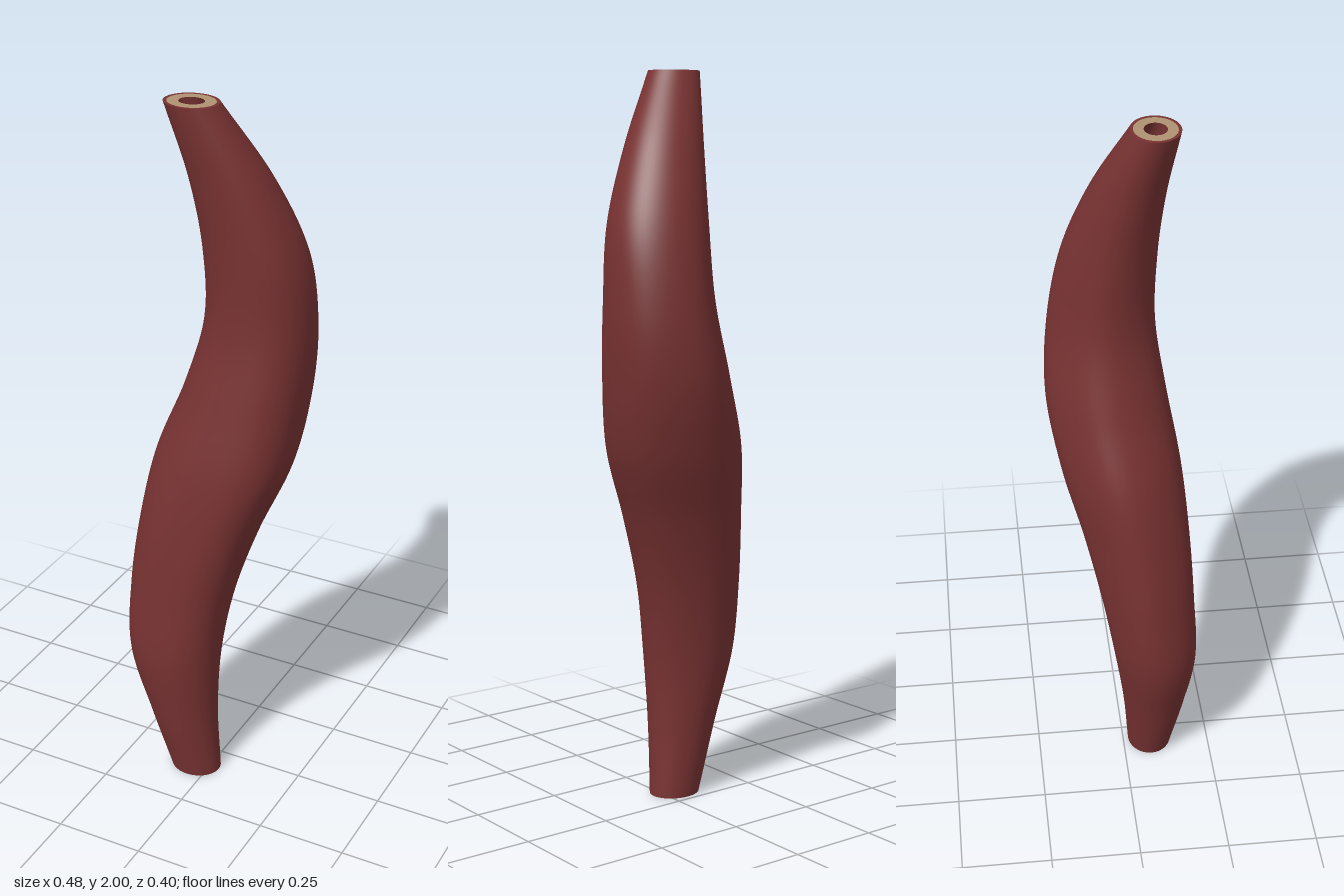
import * as THREE from 'three';

// Cross-section extents at even heights from y = 0 to y = 2: [xMin, xMax, zMin, zMax]
const sections = [
  [-0.115, 0.03, 0.015, 0.14],
  [-0.175, 0.022, -0.002, 0.175],
  [-0.235, 0.03, -0.03, 0.2],
  [-0.24, 0.06, -0.065, 0.192],
  [-0.222, 0.12, -0.11, 0.18],
  [-0.187, 0.197, -0.165, 0.16],
  [-0.115, 0.23, -0.197, 0.125],
  [-0.06, 0.24, -0.187, 0.097],
  [-0.055, 0.222, -0.15, 0.1],
  [-0.075, 0.145, -0.08, 0.115],
  [-0.115, 0.03, 0.015, 0.14],
];
const BORE = 0.46, LINING = 0.87, SIDES = 64, RINGS = 100;

const curveOf = (fn) => new THREE.CatmullRomCurve3(
  sections.map((s, i) => fn(s, i * 0.2)), false, 'catmullrom', 0.5);
const centre = curveOf(([a, b, c, d], y) => new THREE.Vector3((a + b) / 2, y, (c + d) / 2));
const radii = curveOf(([a, b, c, d], y) => new THREE.Vector3((b - a) / 2, y, (d - c) / 2));

// Point on the wall: t along the vessel, angle around it, scale from axis (0) to skin (1)
function wallPoint(t, angle, scale) {
  const c = centre.getPoint(t), r = radii.getPoint(t);
  const cos = Math.cos(angle), sin = Math.sin(angle);
  const skew = 0.01 * (cos + sin) * Math.sin(2 * angle) ** 2 * Math.sin(Math.PI * t) ** 2;
  return [
    c.x + scale * (r.x + skew) * cos,
    c.y,
    c.z + scale * (r.z + skew) * sin,
  ];
}

// Closed band of quads swept between rows, each row being a [t, scale] pair
function band(rows, inward) {
  const positions = [], index = [];
  for (const [t, scale] of rows) {
    for (let j = 0; j < SIDES; j++) positions.push(...wallPoint(t, (j / SIDES) * Math.PI * 2, scale));
  }
  for (let i = 0; i < rows.length - 1; i++) {
    for (let j = 0; j < SIDES; j++) {
      const k = (j + 1) % SIDES;
      const a = i * SIDES + j, b = i * SIDES + k, c = a + SIDES, d = b + SIDES;
      if (inward) index.push(a, b, c, b, d, c);
      else index.push(a, c, b, b, c, d);
    }
  }
  const geometry = new THREE.BufferGeometry();
  geometry.setAttribute('position', new THREE.Float32BufferAttribute(positions, 3));
  geometry.setIndex(index);
  geometry.computeVertexNormals();
  return geometry;
}

export function createModel() {
  const group = new THREE.Group();
  group.name = 'curvedTube';
  const red = new THREE.MeshStandardMaterial({ color: 0x783232 });
  red.name = 'darkRed';
  const tan = new THREE.MeshStandardMaterial({ color: 0xb09272 });
  tan.name = 'tan';

  const add = (name, geometry, material) => {
    const mesh = new THREE.Mesh(geometry, material);
    mesh.name = name;
    group.add(mesh);
  };
  const along = (scale) => Array.from({ length: RINGS + 1 }, (_, i) => [i / RINGS, scale]);

  // Outer skin and hollow bore
  add('outerWall', band(along(1), false), red);
  add('innerBore', band(along(BORE), true), red);

  // Cut ends: red rim around a tan ring
  for (const [end, t] of [['bottom', 0], ['top', 1]]) {
    add(end + 'Rim', band([[t, 1], [t, LINING]], t === 0), red);
    add(end + 'Ring', band([[t, LINING], [t, BORE]], t === 0), tan);
  }
  return group;
}
